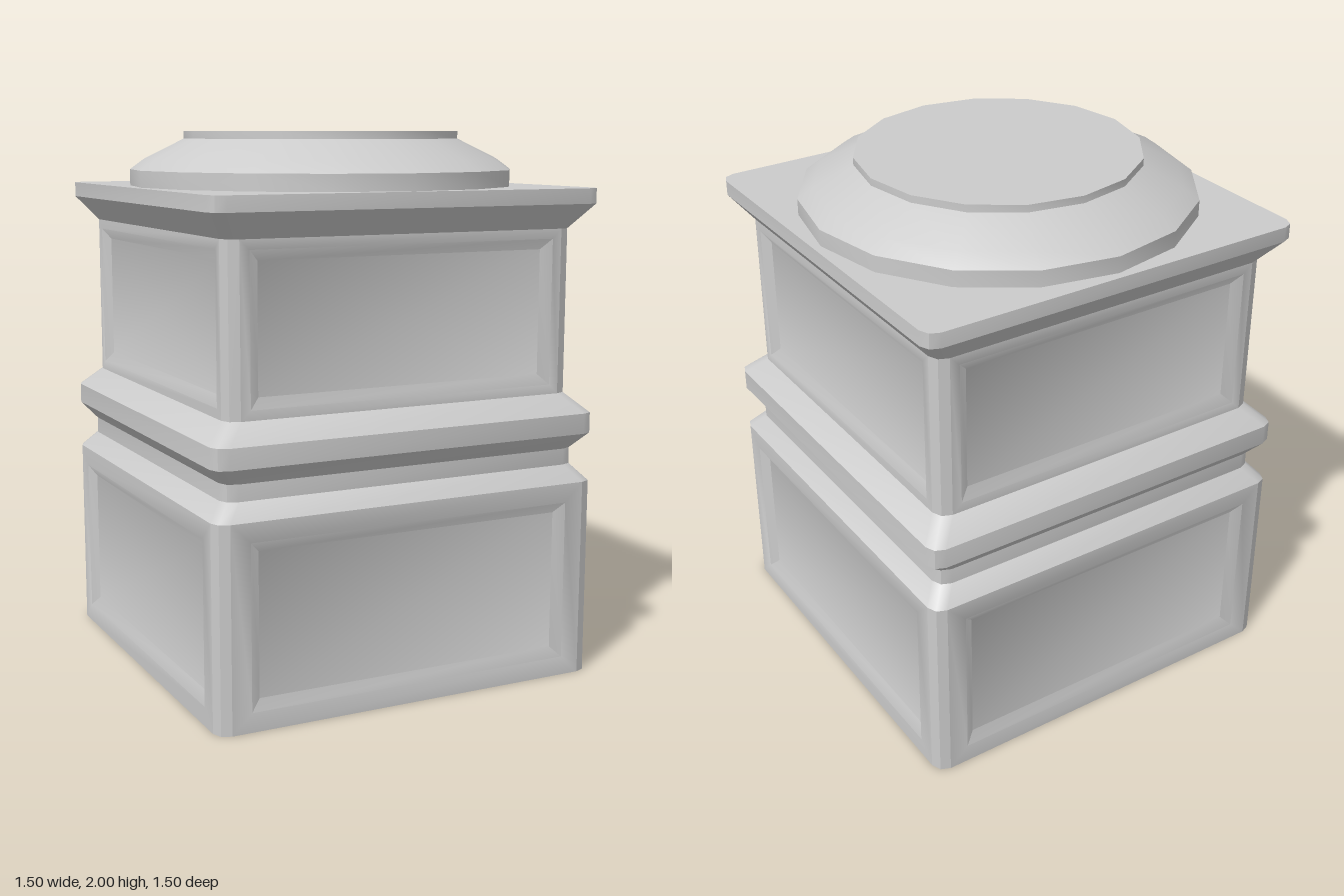
import * as THREE from 'three';
import { toCreasedNormals } from 'three/addons/utils/BufferGeometryUtils.js';

const material = new THREE.MeshStandardMaterial({ color: 0xcccccc, side: THREE.DoubleSide });
const ROUND = 0.05; // corner radius of the square plan

function makeMesh(name, geometry) {
  const mesh = new THREE.Mesh(toCreasedNormals(geometry, 0.6), material);
  mesh.name = name;
  return mesh;
}

// Joins successive closed rings of points with quads; skip(row, side) leaves gaps
function loft(rings, skip = () => false) {
  const positions = [];
  for (let i = 0; i < rings.length - 1; i++) {
    const n = rings[i].length;
    for (let j = 0; j < n; j++) {
      if (skip(i, j)) continue;
      const k = (j + 1) % n;
      const [a, b, c, d] = [rings[i][j], rings[i][k], rings[i + 1][k], rings[i + 1][j]];
      for (const p of [a, b, c, a, c, d]) positions.push(p.x, p.y, p.z);
    }
  }
  const geometry = new THREE.BufferGeometry();
  geometry.setAttribute('position', new THREE.Float32BufferAttribute(positions, 3));
  geometry.computeVertexNormals();
  return geometry;
}

// Square outline with two-segment rounded corners, three points per corner
function squareRing(half, y) {
  const ring = [];
  for (let corner = 0; corner < 4; corner++) {
    const middle = Math.PI / 4 + corner * Math.PI / 2;
    const reach = (half - ROUND) * Math.SQRT2;
    for (const turn of [-Math.PI / 4, 0, Math.PI / 4]) {
      const t = middle + turn;
      ring.push(new THREE.Vector3(
        Math.sin(middle) * reach + Math.sin(t) * ROUND, y,
        Math.cos(middle) * reach + Math.cos(t) * ROUND));
    }
  }
  return ring;
}

const rectRing = (halfWidth, bottom, top, z) => [
  new THREE.Vector3(-halfWidth, bottom, z), new THREE.Vector3(halfWidth, bottom, z),
  new THREE.Vector3(halfWidth, top, z), new THREE.Vector3(-halfWidth, top, z),
];

// Wall face with a shallow sunken, bevelled panel, facing +z
function panelWall({ half, bottom, top, panelHalf, panelBottom, panelTop }) {
  const bevel = 0.038, depth = 0.025;
  const middle = (panelBottom + panelTop) / 2;
  return loft([
    rectRing(half - ROUND, bottom, top, half),
    rectRing(panelHalf, panelBottom, panelTop, half),
    rectRing(panelHalf - bevel, panelBottom + bevel, panelTop - bevel, half - depth),
    rectRing(0, middle, middle, half - depth),
  ]);
}

export function createModel() {
  const group = new THREE.Group();
  group.name = 'pedestal';

  // Hollow square shell: half width and height of each moulding line
  const profile = [
    [0.75, 0], [0.75, 0.73], [0.698, 0.79], [0.698, 0.85], [0.75, 0.91],
    [0.75, 0.985], [0.678, 1.055], [0.678, 1.655], [0.75, 1.745], [0.75, 1.8],
  ];
  const panelRows = [0, 6];
  group.add(makeMesh('squareShell', loft(
    profile.map(([half, y]) => squareRing(half, y)),
    (row, side) => panelRows.includes(row) && side % 3 === 2)));

  // Sunken panels on all four sides of both blocks
  const blocks = {
    lowerPanel: { half: 0.75, bottom: 0, top: 0.73, panelHalf: 0.627, panelBottom: 0.07, panelTop: 0.66 },
    upperPanel: { half: 0.678, bottom: 1.055, top: 1.655, panelHalf: 0.592, panelBottom: 1.09, panelTop: 1.62 },
  };
  for (const [name, block] of Object.entries(blocks)) {
    for (let side = 0; side < 4; side++) {
      const wall = makeMesh(name, panelWall(block));
      wall.rotation.y = side * Math.PI / 2;
      group.add(wall);
    }
  }

  // Flat slab closing the top of the shell
  const outline = squareRing(0.75, 0).map((p) => new THREE.Vector2(p.x, -p.z));
  const slab = new THREE.ShapeGeometry(new THREE.Shape(outline)).rotateX(-Math.PI / 2);
  slab.translate(0, 1.8, 0);
  group.add(makeMesh('topSlab', slab));

  // Sixteen-sided cushion moulding with a raised disc
  const cushion = [
    [0.72, 1.8], [0.72, 1.86], [0.665, 1.9], [0.517, 1.973], [0.517, 2], [0, 2],
  ].map(([r, y]) => new THREE.Vector2(r, y));
  group.add(makeMesh('roundCushion', new THREE.LatheGeometry(cushion, 16)));

  return group;
}
